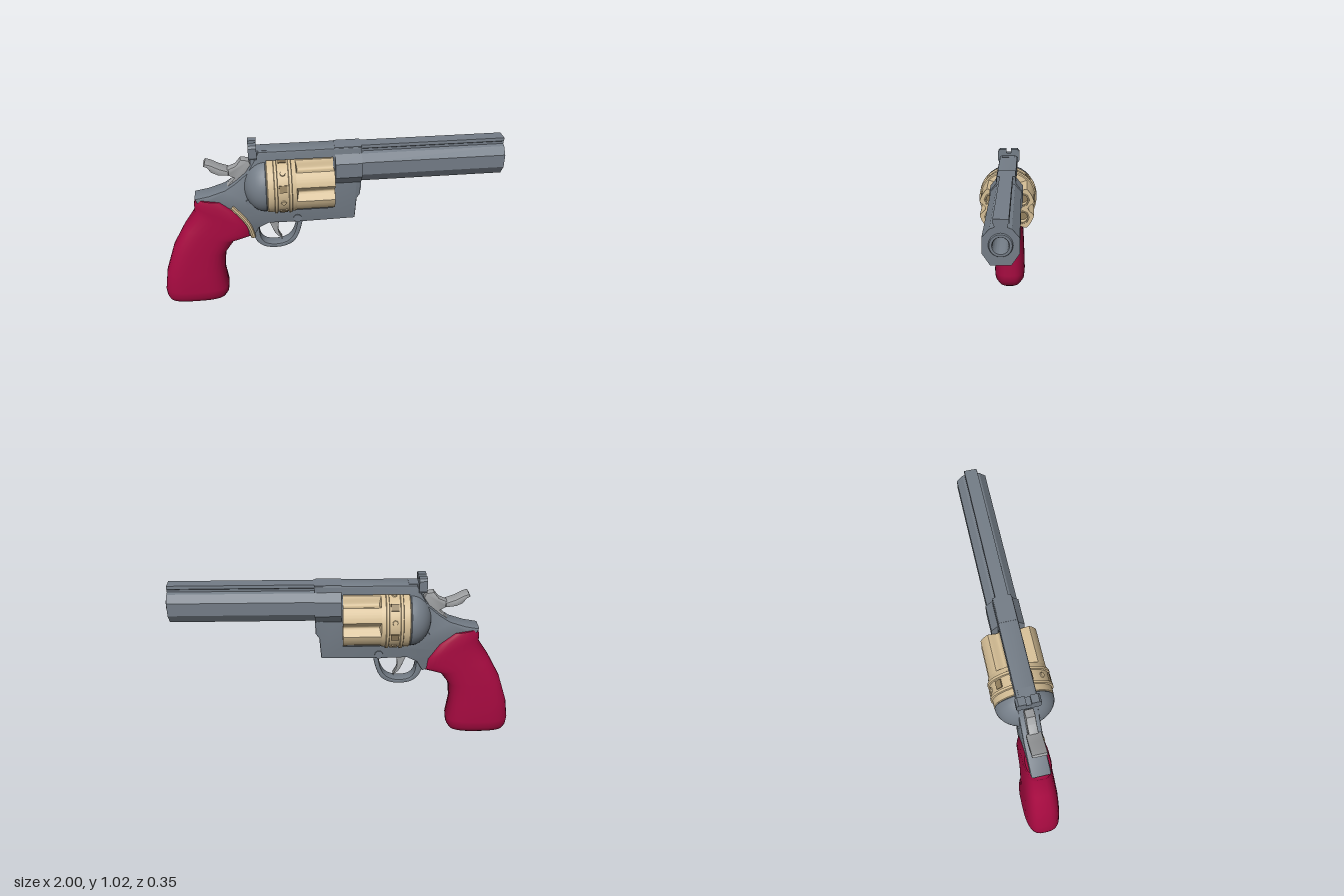
import * as THREE from 'three';
import { toCreasedNormals } from 'three/addons/utils/BufferGeometryUtils.js';

const paint = (color) => new THREE.MeshStandardMaterial({ color, side: THREE.DoubleSide });
const steel = paint(0x747d87), polished = paint(0xa2a4a6), brass = paint(0xd6bf96);
const darkBrass = paint(0x94805e), red = paint(0xa60a40);

const vecs = (pts) => pts.map(([x, y]) => new THREE.Vector2(x, y));
const poly = (pts) => new THREE.Shape(vecs(pts));
// closed outline from one half, mirrored over the vertical axis
const mirrored = (half) => poly([...half, ...half.map(([x, y]) => [-x, y]).reverse()]);
const circle = (x, y, r) => new THREE.Path().absarc(x, y, r, 0, Math.PI * 2, true);

function mesh(group, name, geometry, material, crease = 0.6) {
  const m = new THREE.Mesh(toCreasedNormals(geometry, crease), material);
  m.name = name;
  group.add(m);
  return m;
}

// side profile (x, y) given thickness across z
function extrudeZ(shape, half, bevel = 0.01) {
  return new THREE.ExtrudeGeometry(shape, {
    depth: 2 * (half - bevel), curveSegments: 10, bevelEnabled: bevel > 0,
    bevelSize: bevel, bevelThickness: bevel, bevelOffset: -bevel, bevelSegments: 2,
  }).translate(0, 0, -half + bevel);
}

// cross-section (z, y) swept along x
function extrudeX(shape, x0, x1) {
  return new THREE.ExtrudeGeometry(shape, { depth: x1 - x0, bevelEnabled: false, curveSegments: 20 })
    .rotateY(Math.PI / 2).translate(x0, 0, 0);
}

// profile of [x, radius] turned round the x axis at height y
function turned(profile, y, segments = 36) {
  return new THREE.LatheGeometry(vecs(profile.map(([x, r]) => [r, x])), segments)
    .rotateZ(-Math.PI / 2).translate(0, y, 0);
}

// rounded-box sections: [backX, backY, frontX, frontY, halfWidth]
function loft(sections, sides = 32, power = 3) {
  const pos = [], idx = [];
  const soft = (v) => Math.sign(v) * Math.abs(v) ** (2 / power);
  for (const [bx, by, fx, fy, w] of sections) {
    for (let j = 0; j < sides; j++) {
      const a = (j / sides) * Math.PI * 2, t = (soft(Math.cos(a)) + 1) / 2;
      pos.push(bx + (fx - bx) * t, by + (fy - by) * t, w * soft(Math.sin(a)));
    }
  }
  const last = (sections.length - 1) * sides;
  for (let i = 0; i < last; i += sides) {
    for (let j = 0; j < sides; j++) {
      const a = i + j, b = i + (j + 1) % sides;
      idx.push(a, a + sides, b, b, a + sides, b + sides);
    }
  }
  for (let j = 1; j < sides - 1; j++) idx.push(0, j, j + 1, last, last + j + 1, last + j);
  const g = new THREE.BufferGeometry();
  g.setAttribute('position', new THREE.Float32BufferAttribute(pos, 3));
  g.setIndex(idx);
  return g;
}

function buildBarrel(root) {
  const g = new THREE.Group();
  g.name = 'barrel';
  const section = mirrored([[0.048, 0.775], [0.085, 0.83], [0.085, 0.905], [0.05, 0.945],
    [0.03, 0.952], [0.03, 0.966], [0.038, 0.972], [0.036, 0.99]]);
  section.holes.push(circle(0, 0.87, 0.045));
  mesh(g, 'barrelBody', extrudeX(section, 0.15, 0.99), steel, 0.3);
  mesh(g, 'muzzleRing', turned([[0.6, 0.036], [0.99, 0.036], [1, 0.04], [1, 0.052], [0.985, 0.058]], 0.87), steel);
  mesh(g, 'borePlug', turned([[0.6, 0], [0.6, 0.046]], 0.87), steel);
  root.add(g);
}

function buildFrame(root) {
  const g = new THREE.Group();
  g.name = 'frame';
  const side = poly([[-0.40, 0.988], [0.17, 0.988], [0.17, 0.69], [0.15, 0.66], [0.14, 0.53],
    [-0.17, 0.525], [-0.36, 0.53], [-0.42, 0.5], [-0.455, 0.44], [-0.5, 0.46], [-0.6, 0.56], [-0.75, 0.66],
    [-0.77, 0.715], [-0.69, 0.73], [-0.6, 0.76], [-0.54, 0.8], [-0.47, 0.86], [-0.43, 0.93]]);
  side.holes.push(new THREE.Path(vecs([[-0.37, 0.6], [-0.37, 0.945], [0.022, 0.945], [0.022, 0.6]])));
  mesh(g, 'frameBody', extrudeZ(side, 0.055), steel, 0.5);

  // housing that receives the barrel
  const housing = mirrored([[0.052, 0.73], [0.052, 0.765], [0.092, 0.82], [0.092, 0.905],
    [0.055, 0.95], [0.05, 0.99]]);
  mesh(g, 'barrelHousing', extrudeX(housing, 0.022, 0.172), steel, 0.3);

  // domed shield behind the cylinder
  const dome = [];
  for (let i = 0; i <= 10; i++) {
    const a = (i / 10) * Math.PI / 2;
    dome.push([-0.37 - 0.125 * Math.cos(a), 0.165 * Math.sin(a)]);
  }
  mesh(g, 'recoilShield', turned([...dome, [-0.365, 0.162], [-0.365, 0]], 0.77), steel);

  // rear sight with notch
  const sight = mirrored([[0.058, 0.945], [0.066, 0.96], [0.066, 1.015], [0.055, 1.028],
    [0.014, 1.028], [0.014, 1.005]]);
  mesh(g, 'rearSight', extrudeX(sight, -0.456, -0.41), steel, 0.3);
  mesh(g, 'sightBase', new THREE.BoxGeometry(0.09, 0.05, 0.08).translate(-0.4, 0.965, 0), steel);

  for (const [x, y, r] of [[-0.195, 0.555, 0.024], [-0.47, 0.68, 0.016]]) {
    mesh(g, 'framePin', new THREE.CylinderGeometry(r, r, 0.124, 16).rotateX(Math.PI / 2).translate(x, y, 0), steel);
  }
  root.add(g);
}

function buildCylinder(root) {
  const g = new THREE.Group();
  g.name = 'cylinder';
  const Y = 0.765, R = 0.163, step = Math.PI / 3;
  // fluted front with six chambers
  const pts = [];
  for (let i = 0; i < 144; i++) {
    const a = (i / 144) * Math.PI * 2;
    const off = Math.abs(a - Math.round(a / step) * step) / 0.25;
    const r = off < 1 ? R - 0.04 * Math.cos(off * Math.PI / 2) : R;
    pts.push([r * Math.cos(a), Y + r * Math.sin(a)]);
  }
  const section = poly(pts);
  for (let i = 0; i < 6; i++) {
    const a = (i + 0.5) * step, z = 0.104 * Math.cos(a), y = Y + 0.104 * Math.sin(a);
    section.holes.push(circle(z, y, 0.034));
    mesh(g, 'chamberRim', new THREE.TorusGeometry(0.036, 0.006, 6, 8).rotateY(Math.PI / 2)
      .translate(0.012, y, z), brass);
    mesh(g, 'chamberFloor', new THREE.CylinderGeometry(0.034, 0.034, 0.02, 12).rotateZ(Math.PI / 2)
      .translate(-0.06, y, z), darkBrass);
  }
  mesh(g, 'flutedBody', extrudeX(section, -0.21, 0.014), brass, 0.5);
  // solid rear with raised bands
  mesh(g, 'rearBand', turned([[-0.372, 0], [-0.372, 0.15], [-0.36, 0.166], [-0.325, 0.166], [-0.322, 0.175],
    [-0.308, 0.175], [-0.305, 0.166], [-0.245, 0.166], [-0.242, 0.174], [-0.228, 0.174],
    [-0.225, 0.166], [-0.2, 0.163], [-0.19, 0.12], [-0.19, 0]], Y, 48), brass);
  mesh(g, 'centreRod', new THREE.CylinderGeometry(0.03, 0.03, 0.42, 16).rotateZ(Math.PI / 2)
    .translate(-0.17, Y, 0), brass);
  // stop notches and studs round the band
  for (let i = 0; i < 12; i++) {
    const a = (i + 0.5) * step / 2, notch = i % 2 === 0;
    const geo = notch ? new THREE.BoxGeometry(0.045, 0.014, 0.04)
      : new THREE.CylinderGeometry(0.014, 0.018, 0.014, 8);
    mesh(g, notch ? 'stopNotch' : 'bandStud', geo.translate(-0.275, 0.165, 0).rotateX(a)
      .translate(0, Y, 0), notch ? darkBrass : brass);
  }
  root.add(g);
}

function buildTrigger(root) {
  // guard bow
  const bow = new THREE.Shape();
  bow.moveTo(-0.46, 0.46);
  bow.splineThru(vecs([[-0.435, 0.395], [-0.385, 0.355], [-0.3, 0.347], [-0.225, 0.375], [-0.185, 0.44], [-0.16, 0.54]]));
  bow.lineTo(-0.19, 0.54);
  bow.splineThru(vecs([[-0.21, 0.45], [-0.245, 0.395], [-0.305, 0.372], [-0.375, 0.38], [-0.41, 0.42], [-0.42, 0.5]]));
  mesh(root, 'triggerGuard', extrudeZ(bow, 0.036, 0.006), steel);

  const blade = new THREE.Shape();
  blade.moveTo(-0.37, 0.55);
  blade.splineThru(vecs([[-0.345, 0.48], [-0.32, 0.425], [-0.285, 0.392]]));
  blade.splineThru(vecs([[-0.3, 0.425], [-0.308, 0.47], [-0.295, 0.55]]));
  mesh(root, 'trigger', extrudeZ(blade, 0.018, 0.004), polished);
}

function buildHammer(root) {
  const g = new THREE.Group();
  g.name = 'hammer';
  const body = poly([[-0.64, 0.89], [-0.58, 0.873], [-0.53, 0.895], [-0.5, 0.933], [-0.455, 0.925],
    [-0.43, 0.85], [-0.5, 0.77], [-0.59, 0.765], [-0.54, 0.82], [-0.575, 0.84], [-0.63, 0.85]]);
  mesh(g, 'hammerBody', extrudeZ(body, 0.026, 0.006), polished);
  // wide thumb spur
  const spur = poly([[-0.705, 0.91], [-0.695, 0.925], [-0.665, 0.915], [-0.62, 0.89], [-0.57, 0.872],
    [-0.57, 0.845], [-0.63, 0.852], [-0.665, 0.87], [-0.685, 0.9]]);
  mesh(g, 'hammerSpur', extrudeZ(spur, 0.042, 0.006), polished);
  root.add(g);
}

function buildGrip(root) {
  mesh(root, 'grip', loft([
    [-0.955, 0.003, -0.68, 0.003, 0.058], [-0.985, 0.02, -0.645, 0.02, 0.08], [-0.997, 0.055, -0.625, 0.055, 0.102],
    [-1, 0.1, -0.62, 0.1, 0.106], [-0.98, 0.22, -0.635, 0.22, 0.102], [-0.925, 0.38, -0.62, 0.34, 0.096],
    [-0.85, 0.515, -0.565, 0.415, 0.088], [-0.78, 0.62, -0.46, 0.44, 0.082], [-0.78, 0.665, -0.465, 0.51, 0.08],
    [-0.772, 0.695, -0.53, 0.61, 0.076], [-0.755, 0.708, -0.62, 0.685, 0.068],
  ]), red, 0.7);
  // trim strip along the front edge of the grip
  const edge = new THREE.CatmullRomCurve3([[-0.57, 0.655], [-0.51, 0.58], [-0.475, 0.52], [-0.455, 0.445]]
    .map(([x, y]) => new THREE.Vector3(x, y, 0.058)));
  mesh(root, 'gripTrim', new THREE.TubeGeometry(edge, 16, 0.014, 8), brass);
}

export function createModel() {
  const root = new THREE.Group();
  root.name = 'revolver';
  [buildBarrel, buildFrame, buildCylinder, buildTrigger, buildHammer, buildGrip].forEach((build) => build(root));
  return root;
}
